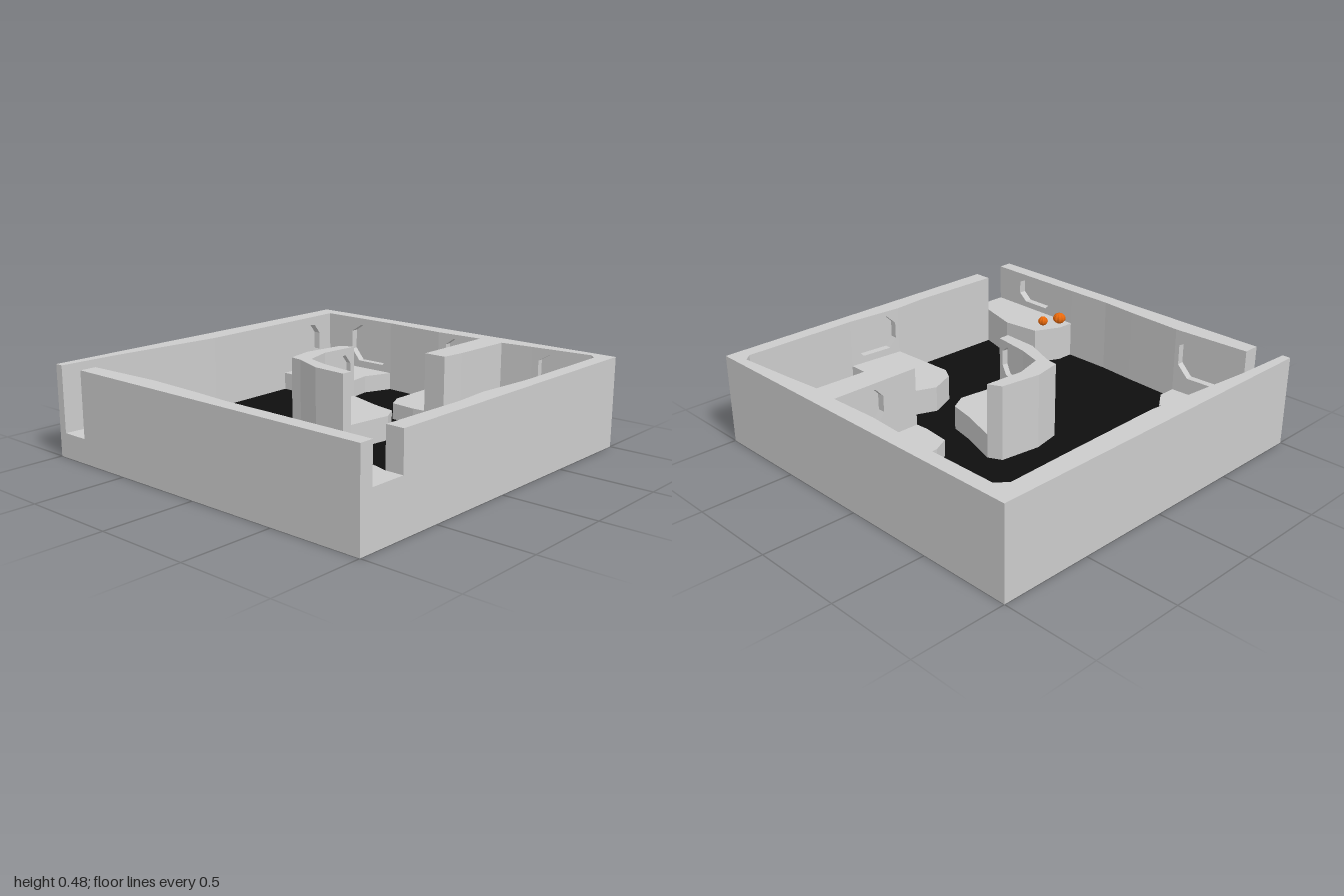
import * as THREE from 'three';
import { mergeGeometries } from 'three/addons/utils/BufferGeometryUtils.js';

const FLOOR = 0.08, TOP = 0.48;
const grey = new THREE.MeshStandardMaterial({ color: 0xcccccc, flatShading: true });
const coloured = (color) => new THREE.MeshStandardMaterial({ color, flatShading: true });

// irregular octagon used for every niche, in unit size
const NICHE = [[-0.5, -0.2], [-0.3, -0.5], [0.35, -0.5], [0.5, -0.25],
  [0.5, 0.2], [0.3, 0.45], [-0.25, 0.5], [-0.5, 0.3]];
const niche = (t, w, y, h, d = 0.04) => ({ t, w, y, h, d });

const plain = (g) => {
  const n = g.index ? g.toNonIndexed() : g;
  n.deleteAttribute('uv');
  n.computeVertexNormals();
  return n;
};

// one upright face from a to b, with an optional niche sunk into it
function facePieces(a, b, y0, y1) {
  const dir = new THREE.Vector3(b[0] - a[0], 0, b[1] - a[1]);
  const len = dir.length();
  dir.normalize();
  const place = new THREE.Matrix4().makeBasis(dir, new THREE.Vector3(0, 1, 0),
    new THREE.Vector3(-dir.z, 0, dir.x)).setPosition(a[0], 0, a[1]);
  const panel = new THREE.Shape([[0, y0], [len, y0], [len, y1], [0, y1]].map((p) => new THREE.Vector2(...p)));
  const pieces = [];
  const n = a[2];
  if (n) {
    const rim = NICHE.map(([u, v]) => new THREE.Vector2(n.t * len + u * n.w, n.y + v * n.h));
    panel.holes.push(new THREE.Path(rim));
    pieces.push(plain(new THREE.ShapeGeometry(new THREE.Shape(rim)).translate(0, 0, -n.d)));
    const pos = [];
    rim.forEach((p, i) => {
      const q = rim[(i + 1) % rim.length];
      pos.push(p.x, p.y, 0, q.x, q.y, 0, q.x, q.y, -n.d);
      pos.push(p.x, p.y, 0, q.x, q.y, -n.d, p.x, p.y, -n.d);
    });
    const reveal = new THREE.BufferGeometry();
    reveal.setAttribute('position', new THREE.Float32BufferAttribute(pos, 3));
    pieces.push(plain(reveal));
  }
  pieces.push(plain(new THREE.ShapeGeometry(panel)));
  return pieces.map((g) => g.applyMatrix4(place));
}

// prism over an [x, z, niche?] outline, counter-clockwise seen from above
function prism(name, outline, y1, y0 = FLOOR) {
  const cap = new THREE.ShapeGeometry(new THREE.Shape(outline.map(([x, z]) => new THREE.Vector2(x, -z))));
  const pieces = [plain(cap.rotateX(-Math.PI / 2).translate(0, y1, 0))];
  outline.forEach((a, i) => pieces.push(...facePieces(a, outline[(i + 1) % outline.length], y0, y1)));
  const mesh = new THREE.Mesh(mergeGeometries(pieces), grey);
  mesh.name = name;
  return mesh;
}

// squat sphere with eight ribs
function pumpkin(x, y, z, r, h) {
  const g = new THREE.SphereGeometry(1, 32, 10);
  const p = g.attributes.position;
  for (let i = 0; i < p.count; i++) {
    const a = Math.atan2(p.getZ(i), p.getX(i));
    const k = 0.84 + 0.16 * Math.abs(Math.cos(4 * a));
    p.setXYZ(i, p.getX(i) * k * r, p.getY(i) * h / 2, p.getZ(i) * k * r);
  }
  const m = new THREE.Mesh(g, coloured(0xe8690c));
  m.name = 'pumpkin';
  m.position.set(x, y + h / 2, z);
  return m;
}

function stone(x, y, z, r, color) {
  const m = new THREE.Mesh(new THREE.IcosahedronGeometry(r, 1), coloured(color));
  m.name = 'stone';
  m.scale.set(1, 0.7, 0.85);
  m.rotation.y = x * 20;
  m.position.set(x, y + r * 0.5, z);
  return m;
}

export function createModel() {
  const model = new THREE.Group();

  // base slab and dark floor
  const base = new THREE.Mesh(new THREE.BoxGeometry(2, FLOOR, 2), grey);
  base.position.y = FLOOR / 2;
  base.name = 'base';
  const floor = new THREE.Mesh(new THREE.PlaneGeometry(1.96, 1.96).rotateX(-Math.PI / 2), coloured(0x0f0f0f));
  floor.position.y = FLOOR + 0.002;
  floor.name = 'floor';
  model.add(base, floor);

  // side and back walls with the partition
  model.add(prism('outerWall', [
    [1, 0.73], [1, -1], [-1, -1], [-1, 1], [-0.955, 1], [-0.94, 0.67], [-0.88, 0.05],
    [-0.89, -0.51, niche(0.49, 0.22, 0.33, 0.22)],
    [-0.9, -0.92, niche(0.67, 0.28, 0.33, 0.22)], [-0.42, -0.92],
    [-0.055, -0.9, niche(0.55, 0.2, 0.36, 0.19)],
    [0.22, -0.91, niche(0.36, 0.22, 0.36, 0.19)], [0.22, -0.42],
    [0.345, -0.42], [0.36, -0.55], [0.37, -0.9],
    [0.55, -0.92, niche(0.5, 0.26, 0.35, 0.2)], [0.89, -0.95], [0.925, -0.91],
    [0.925, -0.28, niche(0.5, 0.27, 0.36, 0.2)], [0.9, 0.035], [0.915, 0.23], [0.905, 0.73],
  ], TOP));

  // front wall between the two doorways
  model.add(prism('frontWall', [
    [-0.8, 1], [1, 1], [1, 0.925, niche(0.5, 0.25, 0.385, 0.14)], [0.41, 0.92], [0.15, 0.92],
    [-0.05, 0.905], [-0.37, 0.89, niche(0.42, 0.31, 0.33, 0.22)], [-0.8, 0.91],
  ], TOP));

  // curved screen in the middle
  model.add(prism('centreScreen', [
    [-0.16, -0.295], [-0.23, -0.26], [-0.26, -0.04], [-0.23, 0.11], [-0.16, 0.12], [0.01, 0.19],
    [0.2, 0.2], [0.2, 0.14, niche(0.5, 0.15, 0.37, 0.16, 0.03)], [0, 0.11], [-0.13, 0.07],
    [-0.175, -0.08, niche(0.47, 0.17, 0.36, 0.18, 0.03)],
  ], TOP));

  // raised platforms; the front two run out through the doorways
  model.add(
    prism('centrePlatform', [[-0.16, -0.295], [-0.175, -0.08], [-0.13, 0.07], [0, 0.11],
      [0.2, 0.14], [0.23, -0.11], [0.18, -0.2], [0.04, -0.23]], 0.21),
    prism('backCornerPlatform', [[-0.9, -0.92], [-0.89, -0.51], [-0.53, -0.5], [-0.455, -0.59],
      [-0.48, -0.76], [-0.42, -0.92]], 0.18),
    prism('backPlatform', [[-0.055, -0.9], [-0.045, -0.52], [0, -0.43], [0.15, -0.415],
      [0.22, -0.42], [0.22, -0.91]], 0.17),
    prism('sidePlatform', [[0.925, -0.28], [0.46, -0.28], [0.4, -0.13], [0.46, 0.01],
      [0.53, 0.05], [0.9, 0.035]], 0.22),
    prism('frontDoorPlatform', [[-0.955, 1], [-0.8, 1], [-0.8, 0.91], [-0.37, 0.89],
      [-0.37, 0.79], [-0.44, 0.69], [-0.94, 0.67]], 0.13),
    prism('sideDoorPlatform', [[1, 0.925], [1, 0.73], [0.905, 0.73], [0.68, 0.665],
      [0.475, 0.69], [0.41, 0.83], [0.41, 0.92]], 0.28),
  );

  // small props on the platforms
  model.add(
    pumpkin(0.46, 0.28, 0.875, 0.037, 0.062),
    pumpkin(0.505, 0.28, 0.785, 0.028, 0.052),
    stone(-0.82, 0.18, -0.855, 0.026, 0x5a4848),
    stone(-0.755, 0.18, -0.875, 0.021, 0x4a3c3c),
    stone(-0.075, 0.21, 0.02, 0.026, 0x6a6a6a),
    stone(-0.02, 0.21, 0.07, 0.019, 0x4a4a4a),
  );
  return model;
}
